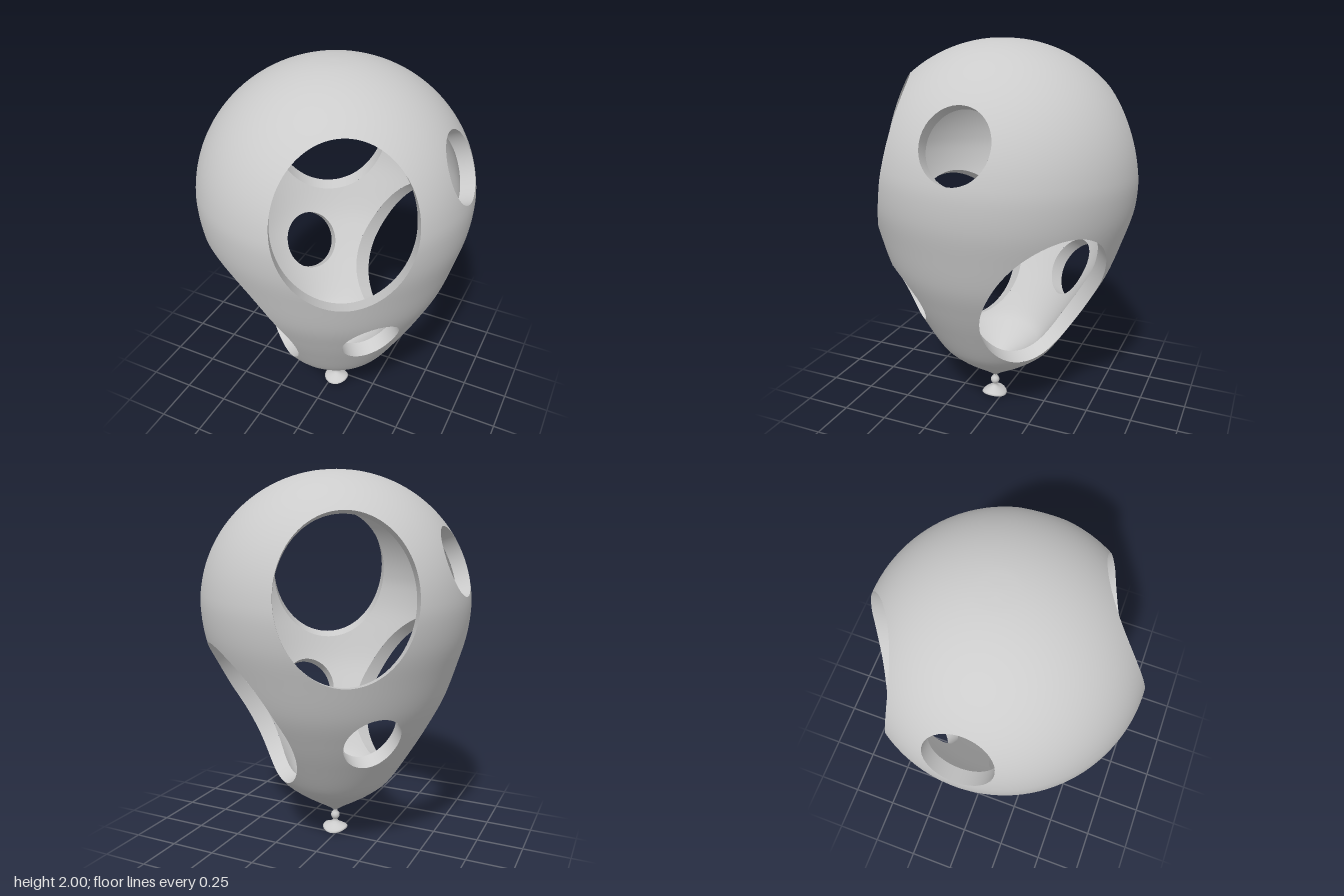
import * as THREE from 'three';

const WALL = 0.075, CENTRE = 1.32, SEGMENTS = 160;
const V = (x, y, z) => new THREE.Vector3(x, y, z);

// Holes: azimuth and elevation of the axis (degrees), centre (r, y), half width a, half height b.
// Each one is repeated half a turn round the balloon.
const HOLES = [
  { az: 29.5, el: 12, r: 0.565, y: 1.42, a: 0.33, b: 0.4 },
  { az: -39, el: -25, r: 0.505, y: 0.76, a: 0.33, b: 0.438 },
  { az: 46, el: -28, r: 0.513, y: 0.70, a: 0.15, b: 0.17 },
  { az: 92.3, el: 20, r: 0.63, y: 1.56, a: 0.17, b: 0.182 },
].flatMap(h => [0, 180].map(turn => {
  const az = THREE.MathUtils.degToRad(h.az + turn), el = THREE.MathUtils.degToRad(h.el);
  const n = V(Math.sin(az) * Math.cos(el), Math.sin(el), Math.cos(az) * Math.cos(el));
  const u = V(Math.cos(az), 0, -Math.sin(az));
  const c = V(Math.sin(az) * h.r, h.y, Math.cos(az) * h.r);
  return { n, u, v: n.clone().cross(u), c, a: h.a, b: h.b };
}));

// Positive on the wall, negative inside a hole
function holeDistance(p) {
  let best = 1;
  for (const h of HOLES) {
    const d = p.clone().sub(h.c);
    if (d.dot(h.n) < -0.3) continue;
    best = Math.min(best, (Math.hypot(d.dot(h.u) / h.a, d.dot(h.v) / h.b) - 1) * h.a);
  }
  return best;
}

// Outer and inner profiles with their normals
function makeProfiles() {
  const pts = [[0, 0.115], [0.06, 0.16], [0.15, 0.22], [0.24, 0.285], [0.322, 0.365], [0.437, 0.55],
    [0.52, 0.70], [0.592, 0.85], [0.65, 1.03], [0.69, 1.18]].map(p => new THREE.Vector2(...p));
  for (let i = 0; i <= 10; i++) {
    const t = i / 10 * Math.PI / 2;
    pts.push(new THREE.Vector2(i === 10 ? 0 : 0.705 * Math.cos(t), CENTRE + 0.68 * Math.sin(t)));
  }
  const curve = new THREE.SplineCurve(pts);
  const outer = [], inner = [];
  for (let i = 0; i <= 90; i++) {
    const p = curve.getPointAt(i / 90), t = curve.getTangentAt(i / 90);
    const n = i === 90 ? new THREE.Vector2(0, 1) : new THREE.Vector2(t.y, -t.x);
    outer.push({ r: Math.max(p.x, 0), y: p.y, n });
    const q = p.clone().addScaledVector(n, -WALL);
    if (q.x > 0.002 || i === 90) inner.push({ r: Math.max(q.x, 0), y: q.y, n });
  }
  inner.unshift({ ...inner[0], r: 0 });
  return { outer, inner };
}

function radiusAt(profile, y) {
  for (let i = 1; i < profile.length; i++) {
    const p = profile[i - 1], q = profile[i];
    if (y >= p.y && y <= q.y) return p.r + (q.r - p.r) * (y - p.y) / (q.y - p.y || 1);
  }
  return 0;
}

function toGeometry(position, normal) {
  const g = new THREE.BufferGeometry();
  g.setAttribute('position', new THREE.Float32BufferAttribute(position, 3));
  g.setAttribute('normal', new THREE.Float32BufferAttribute(normal, 3));
  return g;
}

// Surface of revolution with its triangles trimmed along the hole edges
function trimmedShell(profile, inward) {
  const position = [], normal = [], sign = inward ? -1 : 1;
  const grid = profile.map(({ r, y, n }) => Array.from({ length: SEGMENTS + 1 }, (_, j) => {
    const s = Math.sin(j / SEGMENTS * Math.PI * 2), c = Math.cos(j / SEGMENTS * Math.PI * 2);
    const p = V(r * s, y, r * c);
    return { p, n: V(n.x * s, n.y, n.x * c).multiplyScalar(sign), f: holeDistance(p) };
  }));
  const triangle = (...tri) => {
    if (inward) tri.reverse();
    const poly = [];
    tri.forEach((a, i) => {
      const b = tri[(i + 1) % 3];
      if (a.f >= 0) poly.push(a);
      if ((a.f >= 0) !== (b.f >= 0)) {
        const t = a.f / (a.f - b.f);
        poly.push({ p: a.p.clone().lerp(b.p, t), n: a.n.clone().lerp(b.n, t).normalize() });
      }
    });
    for (let i = 2; i < poly.length; i++)
      for (const k of [poly[0], poly[i - 1], poly[i]]) {
        position.push(...k.p.toArray());
        normal.push(...k.n.toArray());
      }
  };
  for (let i = 1; i < grid.length; i++)
    for (let j = 0; j < SEGMENTS; j++) {
      const a = grid[i - 1][j], b = grid[i - 1][j + 1], c = grid[i][j + 1], d = grid[i][j];
      if (profile[i - 1].r > 0) triangle(a, b, c);
      if (profile[i].r > 0) triangle(a, c, d);
    }
  return toGeometry(position, normal);
}

// Straight-cut wall of one hole, from the outer to the inner surface
function holeWall(h, profiles) {
  const steps = 128, position = [], normal = [];
  const hit = (start, profile) => {
    let lo = -0.22, hi = 0.3;
    for (let i = 0; i < 24; i++) {
      const mid = (lo + hi) / 2, p = start.clone().addScaledVector(h.n, mid);
      if (Math.hypot(p.x, p.z) < radiusAt(profile, p.y)) lo = mid; else hi = mid;
    }
    return start.clone().addScaledVector(h.n, lo);
  };
  const ring = Array.from({ length: steps + 1 }, (_, i) => {
    const t = i / steps * Math.PI * 2, c = Math.cos(t), s = Math.sin(t);
    const start = h.c.clone().addScaledVector(h.u, h.a * c).addScaledVector(h.v, h.b * s);
    const n = V(0, 0, 0).addScaledVector(h.u, -c / h.a).addScaledVector(h.v, -s / h.b).normalize();
    return { out: hit(start, profiles.outer), in: hit(start, profiles.inner), n };
  });
  for (let i = 0; i < steps; i++) {
    const a = ring[i], b = ring[i + 1];
    for (const [k, side] of [[a, 'out'], [b, 'out'], [b, 'in'], [a, 'out'], [b, 'in'], [a, 'in']]) {
      position.push(...k[side].toArray());
      normal.push(...k.n.toArray());
    }
  }
  return toGeometry(position, normal);
}

// Bead and flared mouth, with the lip drooping front and back
function knotGeometry() {
  const pts = [[0, 0.03], [0.045, 0.016], [0.066, 0.014], [0.071, 0.02], [0.066, 0.027], [0.05, 0.033],
    [0.03, 0.041], [0.017, 0.051], [0.012, 0.063], [0.017, 0.069], [0.023, 0.078], [0.025, 0.088],
    [0.023, 0.099], [0.016, 0.108], [0.011, 0.115], [0.012, 0.13]];
  const g = new THREE.LatheGeometry(pts.map(p => new THREE.Vector2(...p)), 40);
  const pos = g.attributes.position;
  for (let i = 0; i < pos.count; i++)
    if (pos.getY(i) < 0.06) pos.setY(i, pos.getY(i) - 0.014 * (pos.getZ(i) / 0.07) ** 2);
  g.computeVertexNormals();
  return g;
}

export function createModel() {
  const grey = new THREE.MeshStandardMaterial({ color: 0xcccccc });
  const greyDouble = new THREE.MeshStandardMaterial({ color: 0xcccccc, side: THREE.DoubleSide });
  const balloon = new THREE.Group();
  balloon.name = 'balloon';
  const add = (name, geometry, material = grey) => {
    const mesh = new THREE.Mesh(geometry, material);
    mesh.name = name;
    mesh.position.y = -CENTRE;
    balloon.add(mesh);
  };

  const profiles = makeProfiles();
  add('outerShell', trimmedShell(profiles.outer, false));
  add('innerShell', trimmedShell(profiles.inner, true));
  HOLES.forEach(h => add('holeWall', holeWall(h, profiles), greyDouble));
  add('knot', knotGeometry(), greyDouble);

  // The whole balloon leans slightly about its centre
  balloon.position.y = CENTRE;
  balloon.quaternion.setFromAxisAngle(V(-0.87, 0, 0.49).normalize(), 0.041);

  const model = new THREE.Group();
  model.add(balloon);
  model.position.y = -new THREE.Box3().setFromObject(model, true).min.y;
  return model;
}
